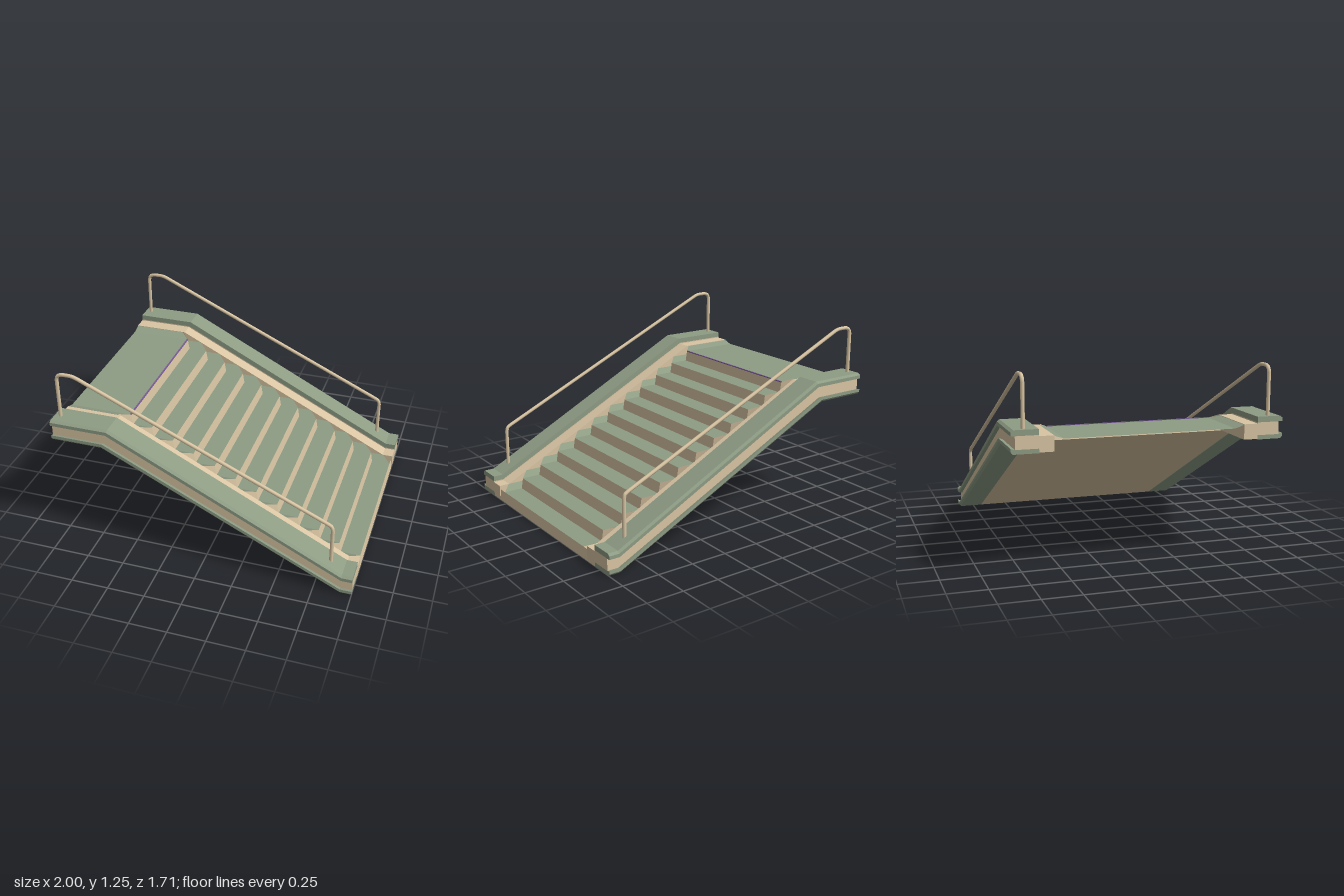
import * as THREE from 'three';

const mat = (color) => new THREE.MeshStandardMaterial({ color, side: THREE.DoubleSide });

// Mesh from a list of quads, each four [x, y, z] corners
function quadMesh(name, quads, material, extraTris = []) {
  const pos = [];
  for (const [a, b, c, d] of quads) pos.push(...a, ...b, ...c, ...a, ...c, ...d);
  for (const t of extraTris) pos.push(...t.flat());
  const g = new THREE.BufferGeometry();
  g.setAttribute('position', new THREE.Float32BufferAttribute(pos, 3));
  g.computeVertexNormals();
  const m = new THREE.Mesh(g, material);
  m.name = name;
  return m;
}

// Top line of the side beams: landing, slope, short foot.
// The lean shifts the upper bend for points below the top line (a mitre).
const STATIONS = [
  { x: -1, y: 0.93, lean: 0 },
  { x: -0.61, y: 0.93, lean: 0.36 },
  { x: 0.93, y: 0.142, lean: 0.05 },
  { x: 1, y: 0.142, lean: 0 },
];

// Sweep a [z, depth below top] section along the beam line
function sweep(name, section, side, material) {
  let ring = section.map(([z, v]) => new THREE.Vector2(z * side, -v));
  if (THREE.ShapeUtils.isClockWise(ring)) ring.reverse();
  const at = (s, p) => [s.x + s.lean * p.y, s.y + p.y, p.x];
  const quads = [];
  for (let i = 0; i < STATIONS.length - 1; i++) {
    const s = STATIONS[i], t = STATIONS[i + 1];
    ring.forEach((a, j) => {
      const b = ring[(j + 1) % ring.length];
      quads.push([at(s, a), at(t, a), at(t, b), at(s, b)]);
    });
  }
  const caps = [];
  for (const f of THREE.ShapeUtils.triangulateShape(ring, [])) {
    caps.push(f.map((k) => at(STATIONS[0], ring[k])));
    caps.push([...f].reverse().map((k) => at(STATIONS[3], ring[k])));
  }
  return quadMesh(name, quads, material, caps);
}

// Handrail: a bent round bar with two posts
function handrail(side, material) {
  const pts = [
    [-0.96, 0.91], [-0.96, 1.2], [-0.952, 1.225], [-0.925, 1.238], [-0.86, 1.238], [-0.83, 1.23],
    [0.815, 0.468], [0.835, 0.455], [0.842, 0.43], [0.842, 0.17],
  ].map(([x, y]) => new THREE.Vector3(x, y, 0.775 * side));
  const path = new THREE.CurvePath();
  for (let i = 0; i < pts.length - 1; i++) path.add(new THREE.LineCurve3(pts[i], pts[i + 1]));
  const m = new THREE.Mesh(new THREE.TubeGeometry(path, 160, 0.0125, 8), material);
  m.name = 'handrail';
  return m;
}

export function createModel() {
  const model = new THREE.Group();
  const tan = mat(0xd9c5a3), green = mat(0x8e9c84), purple = mat(0x7a5a9a);

  // Side beams with cap, web and bottom flange, inner skirting and handrail
  for (const side of [1, -1]) {
    const g = new THREE.Group();
    g.name = side > 0 ? 'leftSide' : 'rightSide';
    g.add(
      sweep('beamCap', [[0.69, 0], [0.84, 0], [0.857, 0.012], [0.857, 0.035], [0.69, 0.035]], side, green),
      sweep('beamWeb', [[0.69, 0.035], [0.832, 0.035], [0.832, 0.115], [0.69, 0.115]], side, tan),
      sweep('beamFlange', [[0.69, 0.115], [0.832, 0.115], [0.857, 0.108], [0.857, 0.128], [0.845, 0.142], [0.69, 0.142]], side, green),
      sweep('skirting', [[0.6, 0.042], [0.69, 0.042], [0.69, 0.138], [0.6, 0.138]], side, tan),
      handrail(side, tan),
    );
    model.add(g);
  }

  // Steps: straight in the middle, swept up the slope where they meet the skirting
  const COUNT = 11, DX = 1.57 / COUNT, DY = 0.795 / COUNT, SLANT = 0.012;
  const across = [[-0.6, 1], [-0.54, 0], [0.54, 0], [0.6, 1]];
  const risers = [], treads = [];
  const strip = (list, a, b) => {
    for (let i = 0; i < 3; i++) {
      const [z0, e0] = across[i], [z1, e1] = across[i + 1];
      const p = ([x, y], z, e) => [x - 0.06 * e, y + 0.03 * e, z];
      list.push([p(a, z0, e0), p(a, z1, e1), p(b, z1, e1), p(b, z0, e0)]);
    }
  };
  for (let k = 0; k < COUNT; k++) {
    const x = -0.58 + k * DX, y = 0.865 - k * DY;
    const nose = [x, y], foot = [x + SLANT, y - DY], next = [x + DX, y - DY];
    strip(risers, nose, foot);
    strip(treads, foot, next);
  }
  model.add(quadMesh('risers', risers.map((q) => [...q].reverse()), tan));
  model.add(quadMesh('treads', treads.map((q) => [...q].reverse()), green));

  // Landing plate with coved edges
  const landing = [];
  const coved = [[-0.6, 0.885], [-0.54, 0.865], [0.54, 0.865], [0.6, 0.885]];
  for (let i = 0; i < 3; i++) {
    const [z0, y0] = coved[i], [z1, y1] = coved[i + 1];
    const front = (z) => (Math.abs(z) > 0.55 ? -0.64 : -0.58);
    landing.push([[-1, y0, z0], [-1, y1, z1], [front(z1), y1, z1], [front(z0), y0, z0]]);
  }
  model.add(quadMesh('landing', landing, green));

  // Coloured nosing at the landing edge
  const nosing = new THREE.Mesh(new THREE.BoxGeometry(0.01, 0.006, 1.08), purple);
  nosing.name = 'landingNosing';
  nosing.position.set(-0.583, 0.865, 0);
  model.add(nosing);

  // Bottom riser, sloping underside and the closing wall below the landing edge
  const band = (a, b, w) => [[a[0], a[1], w], [a[0], a[1], -w], [b[0], b[1], -w], [b[0], b[1], w]];
  model.add(quadMesh('bottomRiser', [band([1, 0], [0.99, 0.07], 0.69)], tan));
  model.add(quadMesh('underside', [
    band([0.925, 0], [1, 0], 0.69),
    band([-0.655, 0.79], [0.925, 0], 0.69),
    band([-0.64, 0.865], [-0.655, 0.79], 0.6),
  ], tan));

  return model;
}
